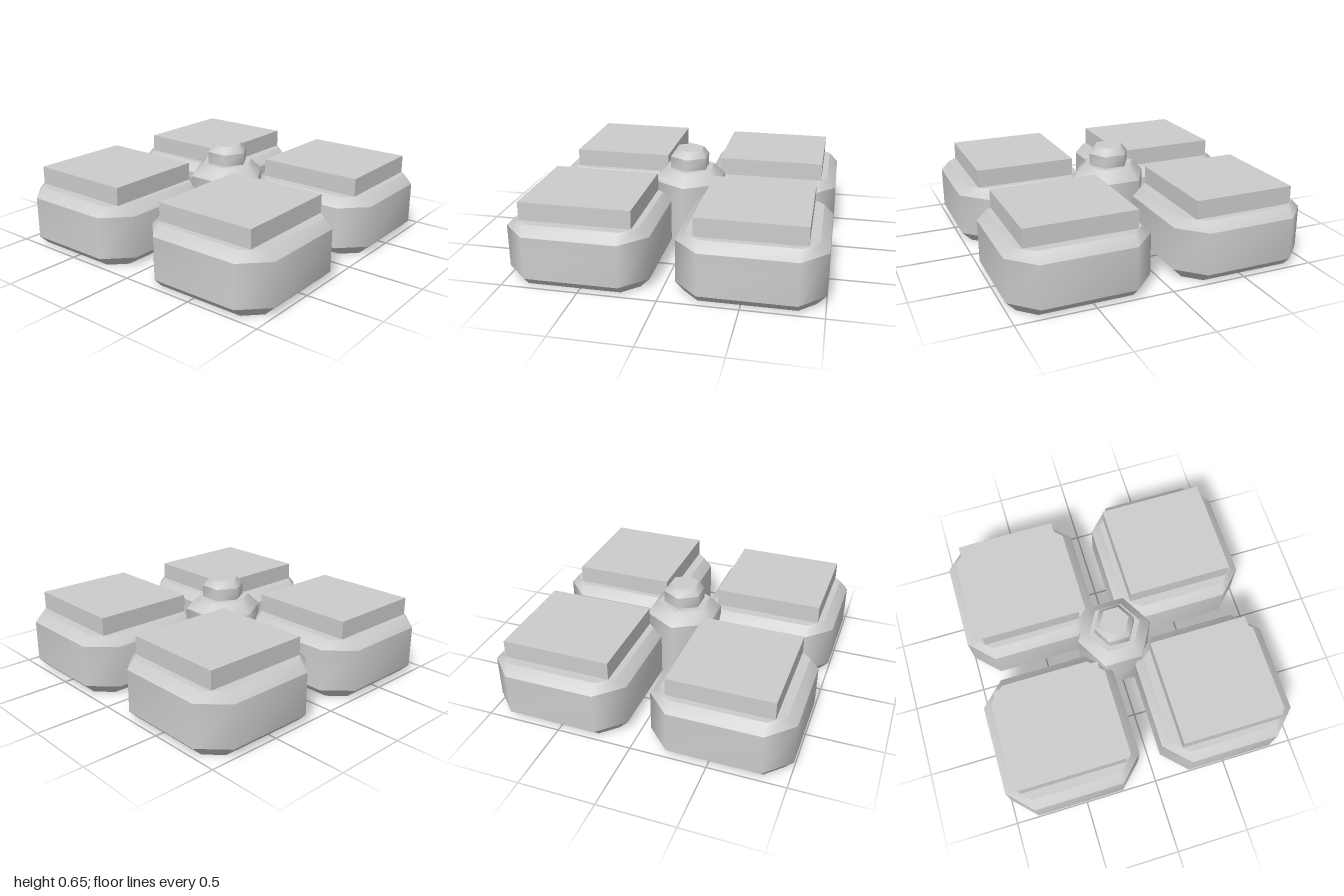
import * as THREE from 'three';
import { mergeGeometries } from 'three/addons/utils/BufferGeometryUtils.js';

// Outlines as [x, z] corners, counter-clockwise from above
const octagon = (h, f = 0.3) => [
  [h, f], [h, -f], [f, -h], [-f, -h], [-h, -f], [-h, f], [-f, h], [f, h],
];
const hexagon = (r) => Array.from({ length: 6 }, (_, i) => {
  const a = (i * Math.PI) / 3;
  return [r * Math.cos(a), -r * Math.sin(a)];
});

function surface(points, index) {
  const g = new THREE.BufferGeometry();
  g.setAttribute('position', new THREE.Float32BufferAttribute(points.flat(), 3));
  g.setIndex(index);
  g.computeVertexNormals();
  return g;
}

// Stacks outlines along [size, y] steps: smooth around, sharp between bands
function stack(outline, steps, closedBottom) {
  const rings = steps.map(([size, y]) => outline(size).map(([x, z]) => [x, y, z]));
  const n = rings[0].length;
  const parts = [];
  for (let k = 0; k < rings.length - 1; k++) {
    const index = [];
    for (let i = 0; i < n; i++) {
      const j = (i + 1) % n;
      index.push(i, j, n + j, i, n + j, n + i);
    }
    parts.push(surface([...rings[k], ...rings[k + 1]], index));
  }
  const top = [], bottom = [];
  for (let i = 1; i < n - 1; i++) {
    top.push(0, i, i + 1);
    bottom.push(0, i + 1, i);
  }
  parts.push(surface(rings[rings.length - 1], top));
  if (closedBottom) parts.push(surface(rings[0], bottom));
  return mergeGeometries(parts);
}

export function createModel() {
  const model = new THREE.Group();
  const grey = new THREE.MeshStandardMaterial({ color: 0xcccccc, side: THREE.DoubleSide });
  grey.name = 'grey';

  const add = (parent, name, geometry) => {
    const mesh = new THREE.Mesh(geometry, grey);
    mesh.name = name;
    parent.add(mesh);
    return mesh;
  };

  // Four chamfered pods with a slab on top, each turned a quarter round the centre
  const podGeometry = stack(octagon, [[0.4, 0], [0.46, 0.06], [0.46, 0.34], [0.4, 0.4]], true);
  const slabGeometry = new THREE.BoxGeometry(0.68, 0.12, 0.72);
  for (let i = 0; i < 4; i++) {
    const corner = new THREE.Group();
    corner.name = 'cornerPod' + (i + 1);
    add(corner, 'podBody', podGeometry).position.set(0.54, 0, 0.54);
    add(corner, 'podSlab', slabGeometry).position.set(0.54, 0.46, 0.54);
    corner.rotation.y = (i * Math.PI) / 2;
    model.add(corner);
  }

  // Hollow hexagonal post with a bevelled shoulder, and the knob above it
  add(model, 'centrePost', stack(hexagon, [[0.26, 0], [0.26, 0.44], [0.18, 0.52]], false));
  add(model, 'centreKnob', stack(hexagon, [[0.14, 0.52], [0.14, 0.6], [0.1, 0.65]], false));

  return model;
}
